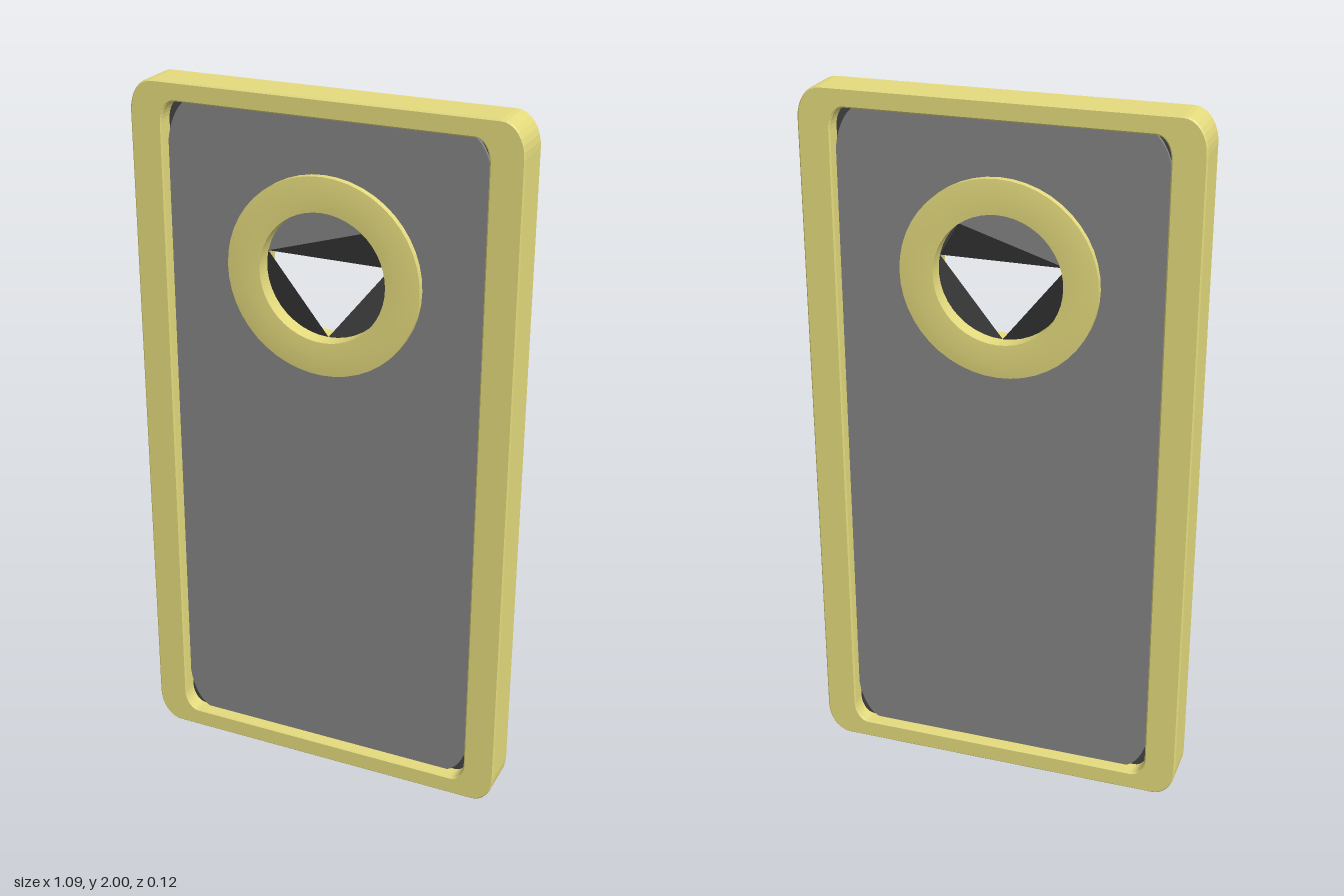
import * as THREE from 'three';
import { toCreasedNormals } from 'three/addons/utils/BufferGeometryUtils.js';

const YELLOW = 0xe4da7d, GREY = 0x838383, DARK = 0x444444;
const HOLE_Y = 1.52, HOLE_R = 0.18;

const mat = (color, side = THREE.FrontSide) => new THREE.MeshStandardMaterial({ color, side });

// Rectangle with elliptical corners (rx by ry)
function roundedRect(Type, x, y0, y1, rx, ry) {
  const p = new Type();
  const corner = (cx, cy, start) =>
    p.absellipse(cx, cy, rx, ry, start, start + Math.PI / 2, false, 0);
  p.moveTo(x, y0 + ry);
  corner(x - rx, y1 - ry, 0);
  corner(-x + rx, y1 - ry, Math.PI / 2);
  corner(-x + rx, y0 + ry, Math.PI);
  corner(x - rx, y0 + ry, Math.PI * 1.5);
  p.closePath();
  return p;
}

// Plate of a given thickness, centred on z = 0
function plate(name, shape, depth, color, bevel = 0, curveSegments = 4) {
  const geo = new THREE.ExtrudeGeometry(shape, {
    depth: depth - 2 * bevel, curveSegments, bevelEnabled: bevel > 0,
    bevelSize: bevel, bevelThickness: bevel, bevelOffset: -bevel, bevelSegments: 1,
  });
  geo.translate(0, 0, -depth / 2 + bevel);
  const mesh = new THREE.Mesh(geo, mat(color));
  mesh.name = name;
  return mesh;
}

function roundHole(r) {
  return new THREE.Path().absarc(0, HOLE_Y, r, 0, Math.PI * 2, true);
}

export function createModel() {
  const model = new THREE.Group();
  model.name = 'framedPanel';

  // Outer frame
  const outline = roundedRect(THREE.Shape, 0.543, 0, 2, 0.065, 0.09);
  outline.holes.push(roundedRect(THREE.Path, 0.452, 0.055, 1.948, 0.04, 0.06));
  model.add(plate('frame', outline, 0.12, YELLOW, 0.004));

  // Main panel, with a darker plate showing at its corners
  const panel = roundedRect(THREE.Shape, 0.455, 0.052, 1.951, 0.08, 0.16);
  panel.holes.push(roundHole(HOLE_R + 0.03));
  model.add(plate('panel', panel, 0.05, GREY, 0, 16));
  const backing = roundedRect(THREE.Shape, 0.47, 0.04, 1.965, 0.02, 0.02);
  backing.holes.push(roundHole(HOLE_R + 0.03));
  model.add(plate('backing', backing, 0.03, DARK, 0, 16));

  // Round window ring with nearly flat faces
  const profile = [
    [HOLE_R, -0.046], [0.228, -0.049], [0.275, -0.044],
    [0.275, 0.044], [0.228, 0.049], [HOLE_R, 0.046], [HOLE_R, -0.046],
  ].map(([r, z]) => new THREE.Vector2(r, z));
  const ringGeo = toCreasedNormals(new THREE.LatheGeometry(profile, 48), 0.6);
  const ring = new THREE.Mesh(ringGeo, mat(YELLOW));
  ring.name = 'windowRing';
  ring.rotation.x = Math.PI / 2;
  ring.position.y = HOLE_Y;
  model.add(ring);

  // Window facets around a triangular opening
  const A = 2.92, B = 0.22, C = -Math.PI / 2, D = 0.82;
  const point = (a) => new THREE.Vector2(Math.cos(a), Math.sin(a)).multiplyScalar(HOLE_R);
  const segment = (from, to) => {
    const pts = [];
    for (let i = 0; i <= 12; i++) pts.push(point(from + ((to - from) * i) / 12));
    return new THREE.Shape(pts);
  };
  const facets = [
    ['upperFacet', segment(D, A), GREY],
    ['middleFacet', new THREE.Shape([point(B), point(D), point(A)]), 0x303030],
    ['sideFacet', segment(B, D), DARK],
    ['lowerLeftFacet', segment(C, B), DARK],
    ['lowerRightFacet', segment(A, C + Math.PI * 2), 0x303030],
  ];
  const window = new THREE.Group();
  window.name = 'window';
  window.position.y = HOLE_Y;
  for (const [name, shape, color] of facets) {
    const mesh = new THREE.Mesh(new THREE.ShapeGeometry(shape), mat(color, THREE.DoubleSide));
    mesh.name = name;
    window.add(mesh);
  }
  model.add(window);

  return model;
}
